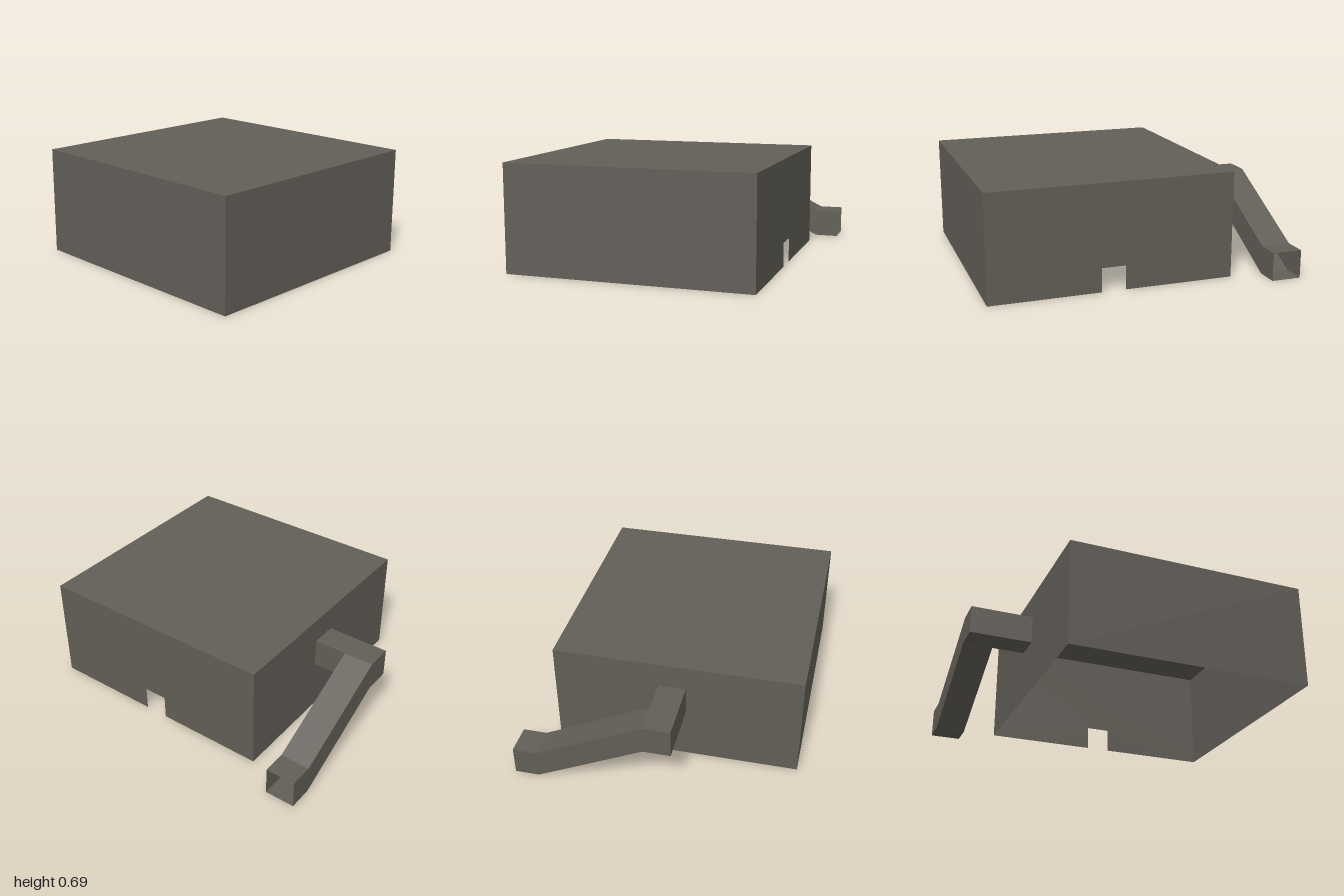
import * as THREE from 'three';

const material = new THREE.MeshStandardMaterial({ color: 0x625e57, side: THREE.DoubleSide });
material.name = 'warm grey';

// Housing bounds and the square duct bounds
const X0 = -0.59, X1 = 1, H = 0.693, Z0 = -0.71, Z1 = 0.875;
const ductX0 = -1, ductX1 = -0.805, ductZ0 = -0.03, ductZ1 = 0.145;
const ductY0 = 0.345, ductH = 0.185, ductY1 = ductY0 + ductH;

// Sheet surface made of four-cornered faces, corners counter-clockwise from outside
function sheet(name, quads) {
  const points = [];
  for (const [a, b, c, d] of quads) points.push(...a, ...b, ...c, ...a, ...c, ...d);
  const geometry = new THREE.BufferGeometry();
  geometry.setAttribute('position', new THREE.Float32BufferAttribute(points, 3));
  geometry.computeVertexNormals();
  return named(name, geometry);
}

function named(name, geometry) {
  const mesh = new THREE.Mesh(geometry, material);
  mesh.name = name;
  return mesh;
}

const outline = (pairs) => pairs.map(([x, y]) => new THREE.Vector2(x, y));

export function createModel() {
  const model = new THREE.Group();
  model.name = 'boxWithDuct';

  // Open-bottomed housing: roof and the two plain walls
  const housing = new THREE.Group();
  housing.name = 'housing';
  housing.add(
    sheet('roof', [[[X0, H, Z1], [X1, H, Z1], [X1, H, Z0], [X0, H, Z0]]]),
    sheet('frontWall', [[[X0, 0, Z1], [X1, 0, Z1], [X1, H, Z1], [X0, H, Z1]]]),
    sheet('leftWall', [[[X1, 0, Z1], [X1, 0, Z0], [X1, H, Z0], [X1, H, Z1]]]),
  );

  // Back wall with a square notch in its lower edge
  const mid = -(X0 + X1) / 2, notch = 0.157;
  const backShape = new THREE.Shape(outline([
    [-X1, 0], [mid - notch / 2, 0], [mid - notch / 2, notch],
    [mid + notch / 2, notch], [mid + notch / 2, 0], [-X0, 0], [-X0, H], [-X1, H],
  ]));
  const backWall = named('backWall', new THREE.ShapeGeometry(backShape).rotateY(Math.PI));
  backWall.position.z = Z0;
  housing.add(backWall);

  // Right wall with the opening into the duct
  const rightShape = new THREE.Shape(outline([[Z0, 0], [Z1, 0], [Z1, H], [Z0, H]]));
  rightShape.holes.push(new THREE.Path(outline([
    [ductZ0, ductY0], [ductZ0, ductY1], [ductZ1, ductY1], [ductZ1, ductY0],
  ])));
  const rightWall = named('rightWall', new THREE.ShapeGeometry(rightShape).rotateY(-Math.PI / 2));
  rightWall.position.x = X0;
  housing.add(rightWall);

  // Hollow elbow leaving the housing sideways
  const duct = new THREE.Group();
  duct.name = 'duct';
  const [a, b, y, t, n, f] = [ductX0, X0, ductY0, ductY1, ductZ0, ductZ1];
  duct.add(sheet('ductElbow', [
    [[a, t, f], [b, t, f], [b, t, n], [a, t, n]],
    [[a, y, n], [b, y, n], [b, y, f], [a, y, f]],
    [[a, y, f], [b, y, f], [b, t, f], [a, t, f]],
    [[a, y, n], [a, y, f], [a, t, f], [a, t, n]],
    [[b, y, n], [ductX1, y, n], [ductX1, t, n], [b, t, n]],
  ]));

  // Sloping chute and level outlet, open at the end
  const ring = (z, base) => [
    [ductX0, base, z], [ductX1, base, z], [ductX1, base + ductH, z], [ductX0, base + ductH, z],
  ];
  const tube = (name, from, to) => sheet(name, from.map((p, i) => {
    const j = (i + 1) % 4;
    return [p, to[i], to[j], from[j]];
  }));
  const top = ring(ductZ0, ductY0), bend = ring(-0.72, 0), end = ring(-0.875, 0);
  duct.add(tube('ductChute', top, bend), tube('ductOutlet', bend, end));

  model.add(housing, duct);
  return model;
}
